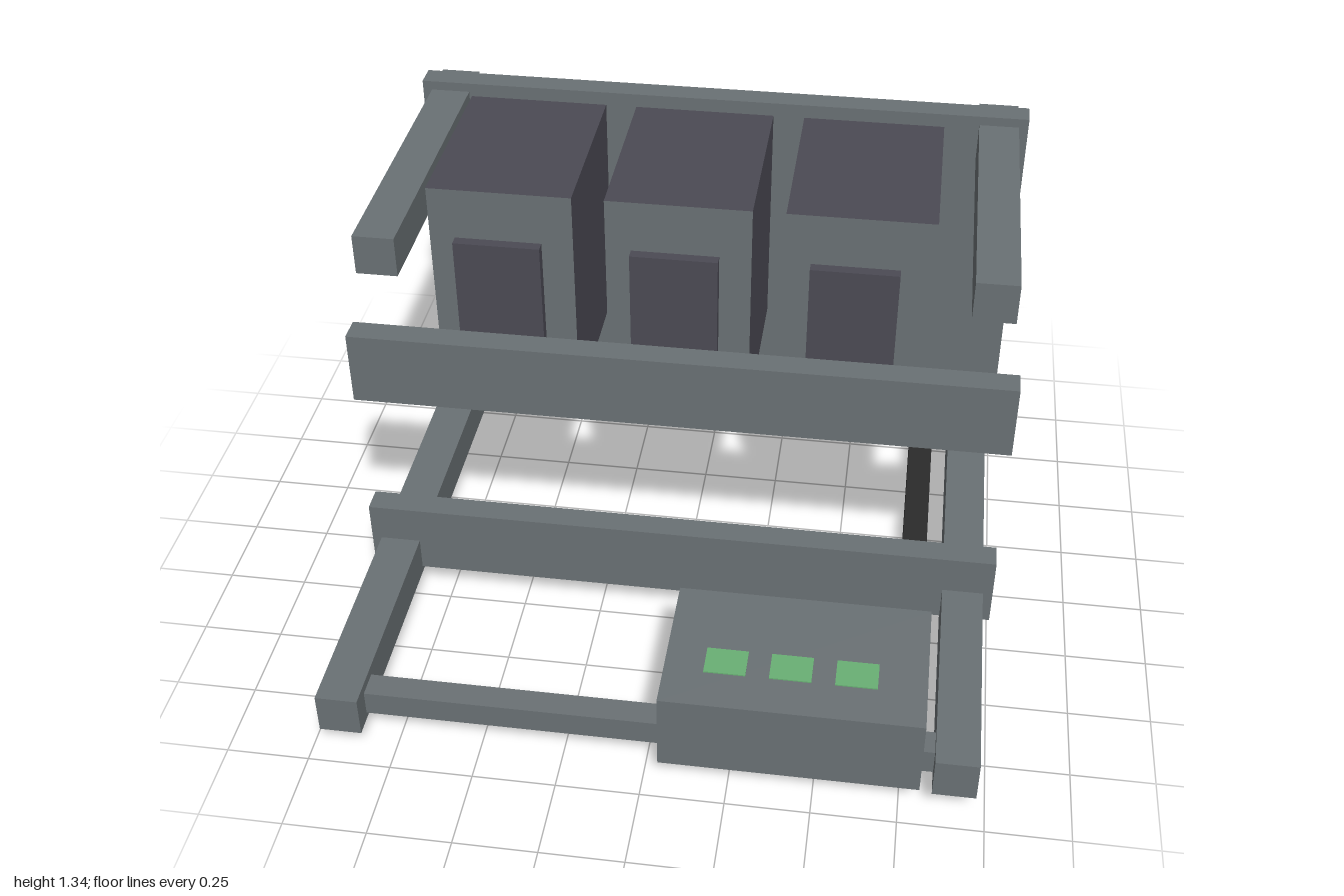
import * as THREE from 'three';

const mat = (name, color) => {
  const m = new THREE.MeshStandardMaterial({ color });
  m.name = name;
  return m;
};

export function createModel() {
  const grey = mat('steelGrey', 0x6a7174);
  const slate = mat('darkSlate', 0x4b4a54);
  const black = mat('black', 0x2b2b2b);
  const red = mat('red', 0x9c4338);
  const green = mat('green', 0x69b074);

  const model = new THREE.Group();
  model.name = 'cabinetRack';

  // Box from its min/max extents; an optional second material covers the +z face
  const box = (name, [x0, x1], [y0, y1], [z0, z1], material, front) => {
    const geometry = new THREE.BoxGeometry(x1 - x0, y1 - y0, z1 - z0);
    const mats = front ? [material, material, material, material, front, material] : material;
    const mesh = new THREE.Mesh(geometry, mats);
    mesh.position.set((x0 + x1) / 2, (y0 + y1) / 2, (z0 + z1) / 2);
    mesh.name = name;
    model.add(mesh);
  };

  // Frame: back panel, side rails and cross bars
  box('backPanel', [-1, 1], [0.05, 1.335], [-0.88, -0.8], grey);
  for (const [side, x] of [['right', [-0.97, -0.843]], ['left', [0.843, 0.97]]]) {
    box(side + 'BottomRail', x, [0.08, 0.21], [-0.95, 0.95], grey);
    box(side + 'TopRail', x, [1.177, 1.305], [-0.95, 0.145], grey);
  }
  box('upperCrossBar', [-1, 1], [0.765, 1.0], [0.145, 0.225], grey);
  box('lowerCrossBar', [-1, 1], [0.1, 0.335], [0.145, 0.225], grey);
  box('frontCrossBar', [-0.843, 0.843], [0.1, 0.18], [0.805, 0.885], grey);

  // Three cabinets, each with a front plate and two terminals
  for (const x of [-0.835, -0.279, 0.277]) {
    box('cabinet', [x, x + 0.455], [0.53, 1.29], [-0.8, -0.183], slate, grey);
    box('cabinetPlate', [x + 0.08, x + 0.355], [0.693, 1.12], [-0.183, -0.148], slate);
    box('redTerminal', [x + 0.045, x + 0.128], [0.587, 0.67], [-0.183, -0.103], red);
    box('darkTerminal', [x + 0.325, x + 0.41], [0.587, 0.67], [-0.183, -0.103], slate, grey);
  }

  // Bar joining the terminals, and the duct running under the frame
  box('terminalBar', [-0.79, 0.735], [0.6, 0.66], [-0.103, -0.057], black, slate);
  box('cableDuct', [0.713, 0.793], [0, 0.085], [-0.95, 0.475], black, slate);

  // Control box with green indicators on top
  box('controlBox', [0.047, 0.807], [0.09, 0.345], [0.475, 0.95], grey);
  for (const x of [0.163, 0.353, 0.543]) {
    box('indicator', [x, x + 0.122], [0.343, 0.349], [0.722, 0.82], green);
  }
  return model;
}
